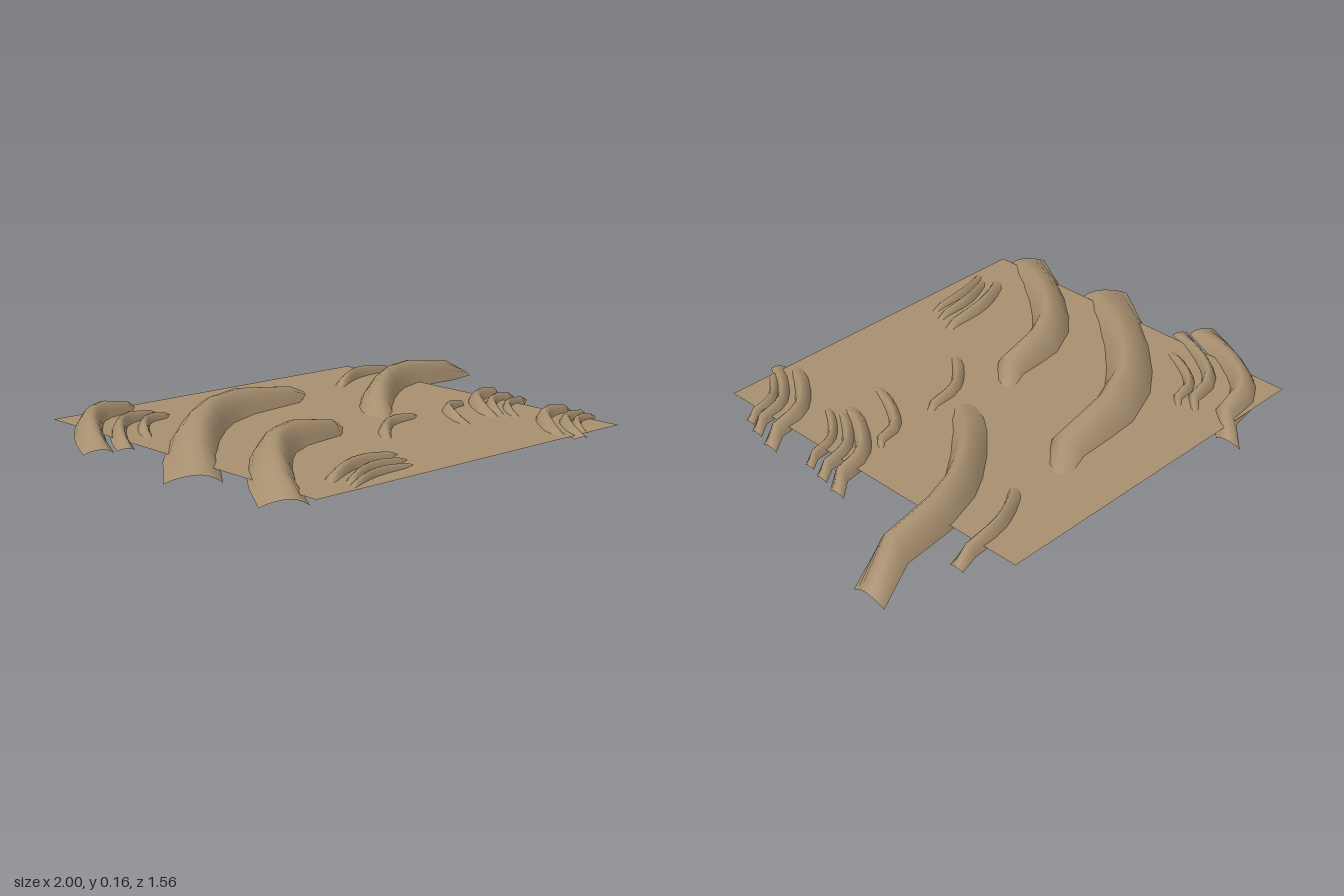
import * as THREE from 'three';

const sand = new THREE.MeshStandardMaterial({ color: 0xa89070, side: THREE.DoubleSide });
sand.name = 'sand';

const GROUND_Y = 0.06;

// Shared S-shaped ridge line: [along x, along z, crest factor], each 0..1
const RIDGE = [
  [0, 0, 0], [0.125, 0.26, 0.55], [0.235, 0.45, 0.83], [0.34, 0.60, 0.96],
  [0.43, 0.70, 1], [0.57, 0.785, 0.96], [0.8, 0.82, 0.68], [1, 1, 0],
];

// Arched cross-section: [across, height], gentle outer slope and steeper inner one
const ARCH = [
  [-0.5, 0], [-0.36, 0.42], [-0.2, 0.75], [-0.02, 0.95],
  [0.13, 1], [0.27, 0.82], [0.38, 0.5], [0.5, 0],
];

// Open arched strip swept along the ridge line from (x0, z0) to (x1, z1)
function duneGeometry(x0, z0, x1, z1, width, peak) {
  const path = RIDGE.map(([u, v]) => new THREE.Vector2(x0 + (x1 - x0) * u, z0 + (z1 - z0) * v));
  const last = path.length - 1;
  const cols = ARCH.length;
  const position = [];
  const index = [];
  path.forEach((p, i) => {
    const k = RIDGE[i][2];
    const tangent = path[Math.min(i + 1, last)].clone().sub(path[Math.max(i - 1, 0)]).normalize();
    if (i >= last - 1) tangent.set(1, 0); // the far end is cut square to x
    const low = i < last / 2 ? 0.06 : 0.065 - width * 0.22;
    const crest = low + (peak - low) * k;
    const rise = THREE.MathUtils.lerp(width * 0.14, peak - 0.045, k);
    for (const [across, height] of ARCH) {
      position.push(
        p.x - tangent.y * across * width,
        crest - rise * (1 - height),
        p.y + tangent.x * across * width,
      );
    }
    if (i === last) return;
    for (let j = 0; j < cols - 1; j++) {
      const a = i * cols + j;
      index.push(a, a + 1, a + cols, a + 1, a + cols + 1, a + cols);
    }
  });
  const geometry = new THREE.BufferGeometry();
  geometry.setAttribute('position', new THREE.Float32BufferAttribute(position, 3));
  geometry.setIndex(index);
  geometry.computeVertexNormals();
  return geometry;
}

// Each dune: start x, start z, end x, end z, width, peak height
const DUNES = {
  largeDune: [
    [-0.92, 0.26, 0.24, -0.52, 0.185, 0.155],
    [-0.89, 0.665, -0.06, 0.0, 0.155, 0.147],
    [0.05, 0.07, 1.0, -0.44, 0.14, 0.147],
  ],
  mediumDune: [
    [-0.955, -0.21, -0.44, -0.735, 0.105, 0.12],
  ],
  backLeftRipple: [
    [-0.875, -0.165, -0.46, -0.57, 0.06, 0.1],
    [-0.74, -0.23, -0.45, -0.5, 0.05, 0.09],
  ],
  backRightRipple: [
    [0.3, -0.41, 0.73, -0.555, 0.058, 0.1],
  ],
  middleRipple: [
    [-0.15, 0.33, 0.21, 0.115, 0.055, 0.09],
    [0.2, 0.38, 0.48, 0.07, 0.055, 0.09],
    [0.355, 0.36, 0.73, 0.015, 0.068, 0.1],
    [0.4, 0.35, 0.715, 0.11, 0.052, 0.09],
    [0.42, 0.41, 0.7, 0.19, 0.042, 0.085],
  ],
  frontRightRipple: [
    [0.32, 0.7, 0.715, 0.385, 0.068, 0.1],
    [0.365, 0.76, 0.695, 0.48, 0.052, 0.09],
    [0.42, 0.72, 0.67, 0.55, 0.042, 0.085],
  ],
  frontLeftRipple: [
    [-0.67, 0.61, -0.23, 0.48, 0.06, 0.095],
    [-0.63, 0.66, -0.27, 0.56, 0.045, 0.09],
    [-0.655, 0.7, -0.3, 0.62, 0.04, 0.085],
  ],
};

export function createModel() {
  const model = new THREE.Group();
  model.name = 'sandDunes';

  // Flat square of desert floor
  const floor = new THREE.Mesh(new THREE.PlaneGeometry(1.42, 1.42), sand);
  floor.name = 'desertFloor';
  floor.rotation.x = -Math.PI / 2;
  floor.position.set(-0.11, GROUND_Y, 0.02);
  model.add(floor);

  // Dunes and ripples in clusters
  for (const [name, list] of Object.entries(DUNES)) {
    list.forEach((dune, i) => {
      const mesh = new THREE.Mesh(duneGeometry(...dune), sand);
      mesh.name = list.length > 1 ? `${name}${i + 1}` : name;
      model.add(mesh);
    });
  }
  return model;
}
